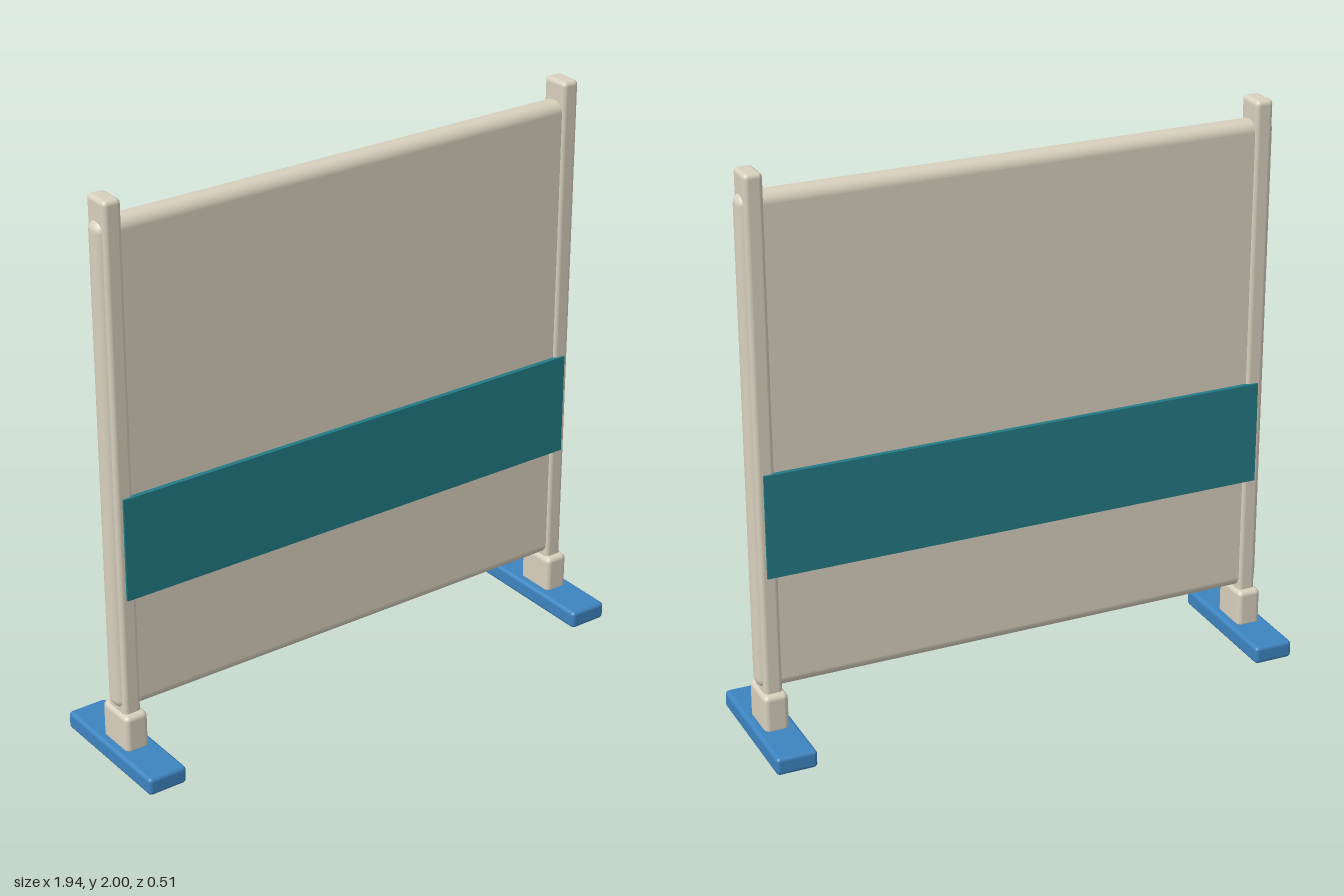
import * as THREE from 'three';
import { RoundedBoxGeometry } from 'three/addons/geometries/RoundedBoxGeometry.js';

export function createModel() {
  const group = new THREE.Group();
  const material = (name, color) => {
    const m = new THREE.MeshStandardMaterial({ color });
    m.name = name;
    return m;
  };
  const beige = material('beige', 0xd8d0be);
  const teal = material('teal', 0x237a85);
  const blue = material('blue', 0x3d84c0);

  // Rounded block standing on height y0
  const block = (name, mat, w, y0, y1, d, r, x = 0) => {
    const geometry = r > 0
      ? new RoundedBoxGeometry(w, y1 - y0, d, 4, r)
      : new THREE.BoxGeometry(w, y1 - y0, d);
    const mesh = new THREE.Mesh(geometry, mat);
    mesh.name = name;
    mesh.position.set(x, (y0 + y1) / 2, 0);
    group.add(mesh);
  };

  // Screen panel and the band wrapped around it
  block('panel', beige, 1.89, 0.2, 1.93, 0.086, 0.038);
  block('band', teal, 1.81, 0.62, 0.988, 0.12, 0);

  // Posts, sockets and feet on both sides
  for (const [side, s] of [['left', 1], ['right', -1]]) {
    const x = s * 0.896;
    block(side + 'Post', beige, 0.064, 0.15, 2, 0.104, 0.016, x);
    block(side + 'Socket', beige, 0.086, 0.05, 0.192, 0.152, 0.018, x);
    block(side + 'Foot', blue, 0.144, 0, 0.064, 0.514, 0.014, x);
  }
  return group;
}
